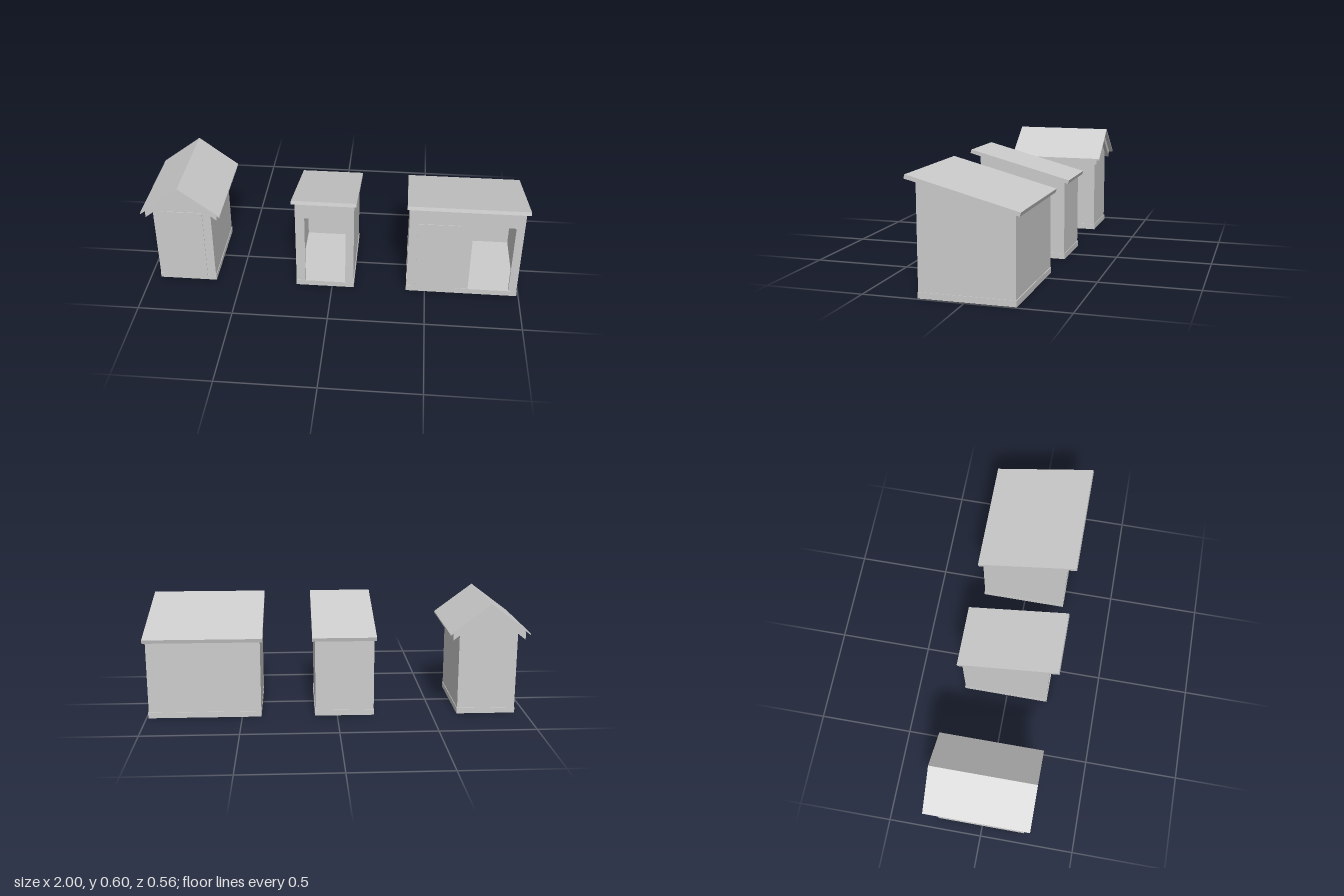
import * as THREE from 'three';

const mat = new THREE.MeshStandardMaterial({ color: 0xcccccc, flatShading: true });
const FRONT = 0.226, BACK = -0.238, T = 0.015, FLOOR = 0.03;
const DOOR_W = 0.215, DOOR_TOP = 0.435;

function add(group, name, geometry) {
  const mesh = new THREE.Mesh(geometry, mat);
  mesh.name = name;
  group.add(mesh);
}

function box(group, name, x0, x1, y0, y1, z0, z1) {
  const g = new THREE.BoxGeometry(x1 - x0, y1 - y0, z1 - z0);
  g.translate((x0 + x1) / 2, (y0 + y1) / 2, (z0 + z1) / 2);
  add(group, name, g);
}

const polygon = pts => new THREE.Shape(pts.map(p => new THREE.Vector2(...p)));

// Extrudes an x-y outline from z0 to z1, cutting rectangular doorways
function slab(group, name, pts, z0, z1, doorways = []) {
  const shape = polygon(pts);
  for (const x of doorways) {
    shape.holes.push(polygon([[x, FLOOR], [x, DOOR_TOP], [x + DOOR_W, DOOR_TOP], [x + DOOR_W, FLOOR]]));
  }
  const g = new THREE.ExtrudeGeometry(shape, { depth: z1 - z0, bevelEnabled: false });
  g.translate(0, 0, z0);
  add(group, name, g);
}

// Extrudes a z-y outline from x0 to x1
function sidePanel(group, name, pts, x0, x1) {
  const g = new THREE.ExtrudeGeometry(polygon(pts), { depth: x1 - x0, bevelEnabled: false });
  g.rotateY(-Math.PI / 2);
  g.translate(x1, 0, 0);
  add(group, name, g);
}

// Skirting boards around a raised floor, open underneath
function base(group, x0, x1) {
  const a = x0 - 0.001, b = x1 + 0.003, c = BACK - 0.004, d = FRONT + 0.002, t = 0.007;
  box(group, 'floor', a + t, b - t, FLOOR - 0.005, FLOOR, c + t, d - t);
  box(group, 'rightSkirting', a, a + t, 0, FLOOR, c, d);
  box(group, 'leftSkirting', b - t, b, 0, FLOOR, c, d);
  box(group, 'backSkirting', a + t, b - t, 0, FLOOR, c, c + t);
  box(group, 'frontSkirting', a + t, b - t, 0, FLOOR, d - t, d);
}

// Closed door stands just proud of the wall and reaches down behind the skirting
function door(group, x) {
  box(group, 'door', x, x + DOOR_W, 0.005, DOOR_TOP, FRONT - T, FRONT + 0.003);
}

// Shed with a single roof falling to the back
function leanToShed(name, x0, x1, roof0, roof1, doorway) {
  const g = new THREE.Group();
  g.name = name;
  const top = z => 0.4775 + 0.266 * z;
  base(g, x0, x1);
  slab(g, 'frontWall', [[x0, FLOOR], [x1, FLOOR], [x1, top(FRONT)], [x0, top(FRONT)]], FRONT - T, FRONT, [doorway]);
  box(g, 'backWall', x0, x1, FLOOR, top(BACK), BACK, BACK + T);
  const side = [[BACK, FLOOR], [FRONT, FLOOR], [FRONT, top(FRONT)], [BACK, top(BACK)]];
  sidePanel(g, 'rightWall', side, x0, x0 + T);
  sidePanel(g, 'leftWall', side, x1 - T, x1);
  sidePanel(g, 'roof', [[0.278, 0.551], [0.273, 0.57], [-0.265, 0.428], [-0.26, 0.409]], roof0, roof1);
  return g;
}

// Lean-to with two rooms, one of them shut
function wideShed() {
  const g = leanToShed('wideShed', 0.4, 0.987, 0.386, 1.0, 0.729);
  sidePanel(g, 'partition', [[BACK, FLOOR], [FRONT - T, FLOOR], [FRONT - T, 0.533], [BACK, 0.414]], 0.682, 0.697);
  door(g, 0.446);
  return g;
}

// Shed with a ridge running front to back
function gableShed(name, cx, half) {
  const g = new THREE.Group();
  g.name = name;
  const eave = 0.44, peak = 0.556;
  const gable = [[-half, FLOOR], [half, FLOOR], [half, eave], [0, peak], [-half, eave]];
  base(g, -half, half);
  slab(g, 'frontWall', gable, FRONT - T, FRONT);
  slab(g, 'backWall', gable, BACK, BACK + T);
  box(g, 'rightWall', -half, T - half, FLOOR, eave, BACK, FRONT);
  box(g, 'leftWall', half - T, half, FLOOR, eave, BACK, FRONT);
  door(g, -DOOR_W / 2);
  // Thick under-roof beneath a thin, wider covering
  slab(g, 'underRoof', [[0, 0.59], [-0.189, 0.448], [-0.189, 0.405], [0, 0.555], [0.189, 0.405], [0.189, 0.448]], -0.257, 0.245);
  slab(g, 'roofCovering', [[0, 0.6], [-0.2095, 0.443], [-0.2095, 0.435], [0, 0.59], [0.2095, 0.435], [0.2095, 0.443]], -0.278, 0.264);
  g.position.x = cx;
  return g;
}

export function createModel() {
  const model = new THREE.Group();
  model.name = 'threeSheds';
  model.add(
    gableShed('gableShed', -0.7905, 0.153),
    leanToShed('smallShed', -0.193, 0.115, -0.204, 0.13, -0.144),
    wideShed()
  );
  return model;
}
